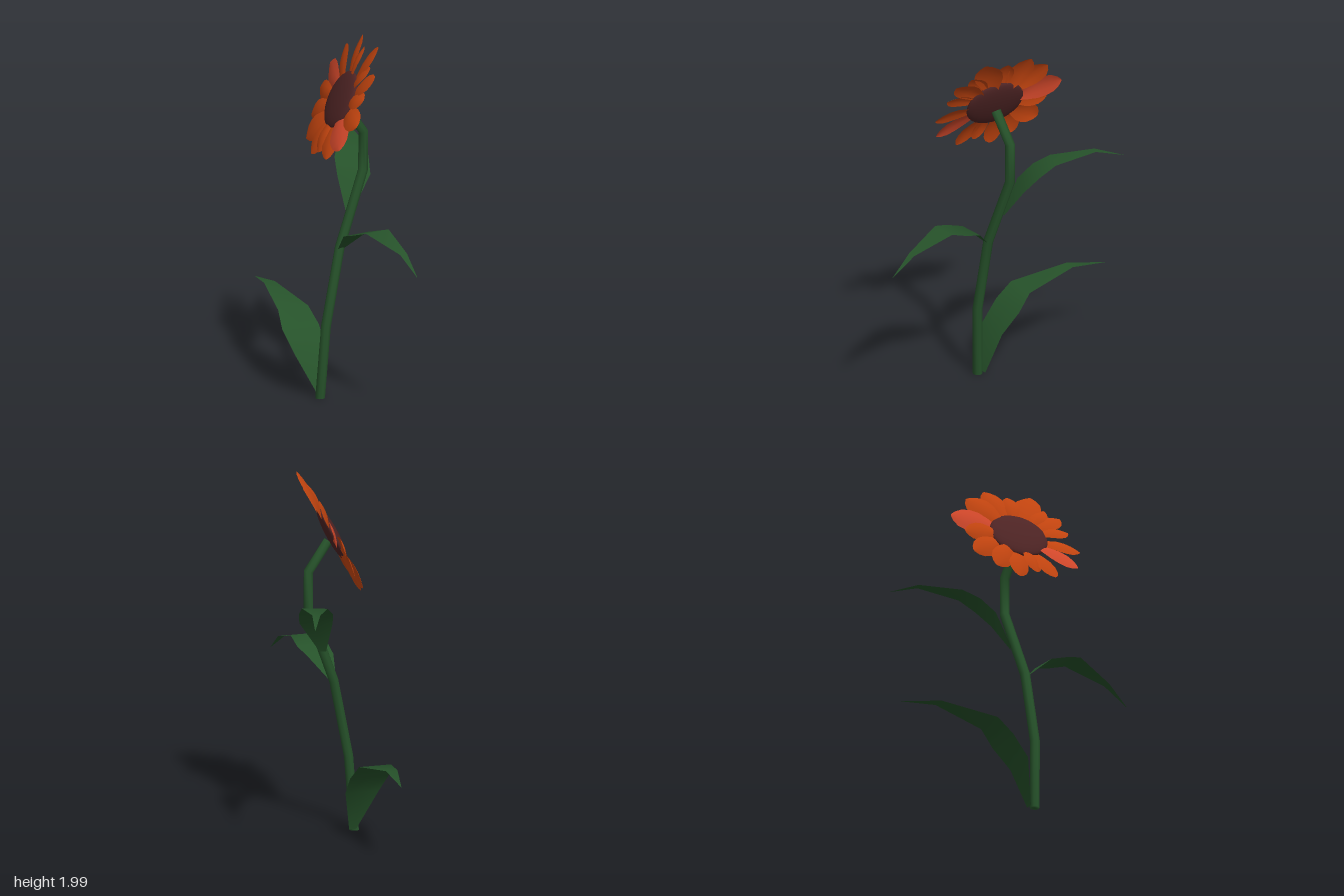
import * as THREE from 'three';

const mat = (name, color, side = THREE.FrontSide) => {
  const m = new THREE.MeshStandardMaterial({ color, side });
  m.name = name;
  return m;
};

// Skin a list of rows (each a list of Vector3) with quads
function skin(rows, closed = false) {
  const n = rows[0].length, index = [];
  for (let i = 0; i < rows.length - 1; i++) {
    for (let j = 0; j < (closed ? n : n - 1); j++) {
      const a = i * n + j, b = i * n + (j + 1) % n;
      index.push(a, b, a + n, b, b + n, a + n);
    }
  }
  const geo = new THREE.BufferGeometry().setFromPoints(rows.flat());
  geo.setIndex(index);
  geo.computeVertexNormals();
  return geo;
}

// Stem: rings mitred along a bent path lying close to the xy plane
function stemGeometry(path, radius, sides = 8) {
  const pts = path.map((p) => new THREE.Vector3(...p));
  const zAxis = new THREE.Vector3(0, 0, 1);
  const rows = pts.map((p, i) => {
    const inDir = p.clone().sub(pts[Math.max(i - 1, 0)]).normalize();
    const outDir = pts[Math.min(i + 1, pts.length - 1)].clone().sub(p).normalize();
    const t = inDir.add(outDir).normalize();
    const side = new THREE.Vector3().crossVectors(t, zAxis).normalize();
    const up = new THREE.Vector3().crossVectors(side, t);
    return Array.from({ length: sides }, (_, k) => {
      const a = -k / sides * Math.PI * 2;
      return p.clone().addScaledVector(side, Math.cos(a) * radius).addScaledVector(up, Math.sin(a) * radius);
    });
  });
  // Level the foot on the ground, then close both ends
  rows[0].forEach((v) => { v.y = 0; });
  const cap = (p) => Array.from({ length: sides }, () => p.clone());
  return skin([cap(pts[0]), ...rows, cap(pts[pts.length - 1])], true);
}

// Leaf: stations [x, y, z, halfWidth] with a level width direction
function leafGeometry(stations, wx, wz) {
  const w = new THREE.Vector3(wx, 0, wz).normalize();
  return skin(stations.map(([x, y, z, hw]) => [-1, 0, 1].map(
    (s) => new THREE.Vector3(x, y, z).addScaledVector(w, s * hw))));
}

// Petal along +x, gently domed toward +z
function petalGeometry(start, end, width) {
  const outline = [[0, 0.4], [0.2, 0.72], [0.42, 0.97], [0.62, 1], [0.8, 0.82], [0.93, 0.45], [1, 0.08]];
  return skin(outline.map(([u, w]) => [-1, -0.5, 0, 0.5, 1].map((s) => new THREE.Vector3(
    start + (end - start) * u,
    s * w * width / 2,
    0.014 * Math.sin(u * Math.PI) - 0.012 * s * s * w))));
}

export function createModel() {
  const green = mat('leafGreen', 0x26522a, THREE.DoubleSide);
  const orange = mat('petalOrange', 0xc2440f, THREE.DoubleSide);
  const red = mat('petalRed', 0xd0472a, THREE.DoubleSide);
  const brown = mat('seedBrown', 0x4e2424);

  const model = new THREE.Group();
  model.name = 'flower';
  const add = (parent, name, geo, material) => {
    const mesh = new THREE.Mesh(geo, material);
    mesh.name = name;
    parent.add(mesh);
    return mesh;
  };

  add(model, 'stem', stemGeometry([
    [-0.2, 0, 0.043], [-0.175, 0.41, 0.063], [-0.087, 0.84, 0.062],
    [0.073, 1.25, 0.042], [0.073, 1.47, 0.042], [-0.045, 1.63, 0.042],
  ], 0.027), green);

  add(model, 'lowerLeaf', leafGeometry([
    [-0.18, 0.01, 0.02, 0.02], [-0.2, 0.235, -0.06, 0.095], [-0.195, 0.343, -0.165, 0.11],
    [-0.19, 0.428, -0.25, 0.09], [-0.148, 0.48, -0.56, 0.033], [-0.105, 0.445, -0.78, 0.001],
  ], 1, 0.1), green);

  add(model, 'middleLeaf', leafGeometry([
    [-0.09, 0.835, 0.075, 0.018], [-0.07, 0.95, 0.195, 0.075], [-0.068, 0.985, 0.3, 0.09],
    [-0.058, 1.02, 0.4, 0.072], [-0.04, 0.955, 0.64, 0.022], [-0.037, 0.86, 0.775, 0.001],
  ], 1, 0), green);

  add(model, 'upperLeaf', leafGeometry([
    [-0.005, 1.02, 0.025, 0.018], [0.065, 1.2, -0.04, 0.09], [0.1, 1.275, -0.12, 0.092],
    [0.145, 1.33, -0.2, 0.07], [0.235, 1.355, -0.42, 0.022], [0.305, 1.31, -0.56, 0.001],
  ], 0.885, 0.465), green);

  // Flower head, tilted to face the side and upward
  const head = new THREE.Group();
  head.name = 'flowerHead';
  const n = new THREE.Vector3(-0.861, 0.454, -0.229).normalize();
  const h = new THREE.Vector3(-0.257, 0, 0.966).normalize();
  const v = new THREE.Vector3().crossVectors(n, h);
  head.quaternion.setFromRotationMatrix(new THREE.Matrix4().makeBasis(h, v, n));
  head.position.set(-0.063, 1.67, 0.036);
  model.add(head);

  const disc = add(head, 'seedDisc', new THREE.SphereGeometry(0.165, 28, 16), brown);
  disc.scale.z = 0.2;

  // Petals: angle in degrees, tip radius, width, red or not
  const petals = [
    [16, 0.31, 0.11], [38, 0.35, 0.13], [53, 0.31, 0.1], [70, 0.385, 0.155],
    [93, 0.315, 0.1], [112, 0.375, 0.125], [137, 0.36, 0.14], [165, 0.385, 0.15, true],
    [187, 0.32, 0.12], [213, 0.345, 0.13], [239, 0.35, 0.13], [261, 0.35, 0.12],
    [280, 0.31, 0.1], [298, 0.35, 0.13], [325, 0.37, 0.145, true], [351, 0.35, 0.125],
  ];
  petals.forEach(([deg, tip, width, isRed], i) => {
    const petal = add(head, 'petal', petalGeometry(0.13, tip, width), isRed ? red : orange);
    petal.rotation.set(-0.21, 0, THREE.MathUtils.degToRad(deg), 'ZYX');
    petal.position.z = i % 2 ? -0.006 : 0.006;
  });
  return model;
}
